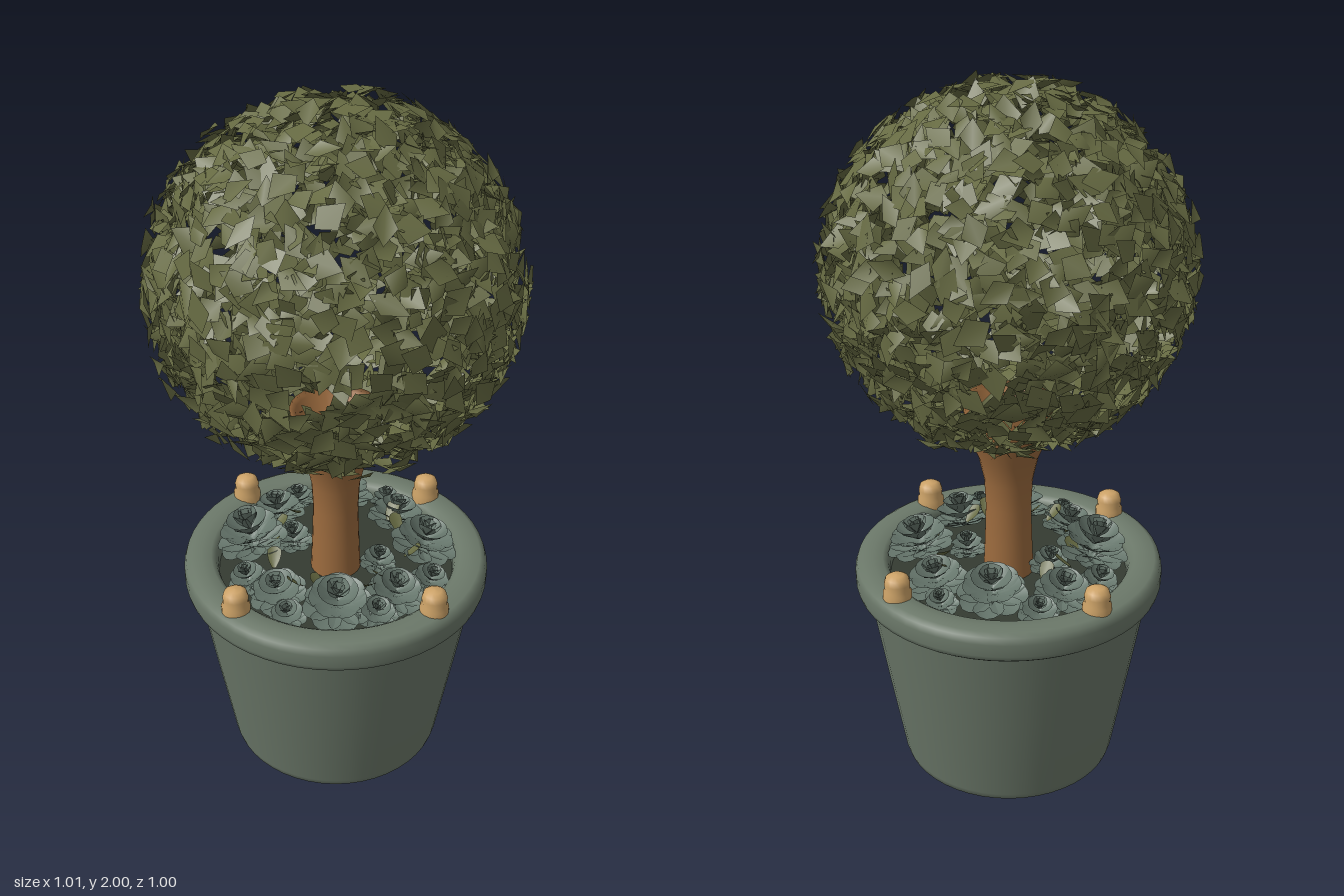
import * as THREE from 'three';
import { mergeGeometries } from 'three/addons/utils/BufferGeometryUtils.js';

const mat = (name, color, side = THREE.FrontSide) => {
  const m = new THREE.MeshStandardMaterial({ color, side });
  m.name = name;
  return m;
};

// Small seeded generator
const seeded = (s) => () => {
  s = (s * 1664525 + 1013904223) % 4294967296;
  return s / 4294967296;
};

const lathe = (points, segments) =>
  new THREE.LatheGeometry(points.map(([r, y]) => new THREE.Vector2(r, y)), segments);

// Ball of folded, pointed leaves forming a hollow shell
function foliageGeometry(count, radius) {
  const rand = seeded(11);
  const pos = [], index = [];
  for (let i = 0; i < count; i++) {
    const y = 1 - 2 * (i + 0.5) / count;
    const a = i * 2.39996 + (rand() - 0.5) * 1.2;
    const r = Math.sqrt(1 - y * y);
    const n = new THREE.Vector3(r * Math.cos(a), y, r * Math.sin(a));
    // Random tangent, leaning outward by a random tilt
    const t = new THREE.Vector3(rand() - 0.5, rand() - 0.5, rand() - 0.5).cross(n).normalize();
    const side = new THREE.Vector3().crossVectors(n, t);
    const tilt = 0.15 + rand() * 0.75;
    const dir = t.multiplyScalar(Math.cos(tilt)).addScaledVector(n, Math.sin(tilt));
    const up = new THREE.Vector3().crossVectors(dir, side);
    const len = 0.07 + rand() * 0.04, half = 0.026 + rand() * 0.014;
    const fold = (rand() - 0.5) * 0.04;
    const tip = n.clone().multiplyScalar(radius - rand() * 0.05);
    const base = tip.clone().addScaledVector(dir, -len);
    const mid = base.clone().addScaledVector(dir, len * 0.42).addScaledVector(up, fold);
    const left = mid.clone().addScaledVector(side, half);
    const right = mid.clone().addScaledVector(side, -half);
    const k = pos.length / 3;
    for (const p of [base, right, tip, left]) pos.push(p.x, p.y, p.z);
    index.push(k, k + 1, k + 2, k, k + 2, k + 3);
  }
  const g = new THREE.BufferGeometry();
  g.setAttribute('position', new THREE.Float32BufferAttribute(pos, 3));
  g.setIndex(index);
  g.computeVertexNormals();
  return g;
}

// One cupped petal pointing along +z from the origin
function petalGeometry(length, width, rise) {
  const g = new THREE.PlaneGeometry(1, 1, 4, 3);
  const p = g.attributes.position;
  for (let i = 0; i < p.count; i++) {
    const u = p.getX(i) * 2, v = p.getY(i) + 0.5;
    const w = width * (0.35 + 0.65 * Math.sin(Math.PI * Math.min(v * 0.72, 0.6)));
    const cup = u * u * 0.18 * width;
    const reach = length * v * (1 - 0.22 * u * u * v);
    p.setXYZ(i, u * w, Math.sin(rise) * reach + cup + 0.08 * v * v * length, Math.cos(rise) * reach);
  }
  g.computeVertexNormals();
  return g;
}

// Unit rosette: rings of petals, steeper and shorter toward the middle
function rosetteGeometry() {
  const parts = [];
  const rings = [[8, 1, 0.42, 0.08, 0], [7, 0.85, 0.4, 0.3, 0.16], [6, 0.66, 0.34, 0.55, 0.3],
    [5, 0.46, 0.26, 0.85, 0.44], [4, 0.28, 0.18, 1.15, 0.56]];
  rings.forEach(([n, len, width, rise, y], k) => {
    for (let i = 0; i < n; i++) {
      const g = petalGeometry(len, width, rise);
      g.rotateY((i + k * 0.4) / n * Math.PI * 2);
      g.translate(0, y, 0);
      parts.push(g);
    }
  });
  return mergeGeometries(parts);
}

export function createModel() {
  const model = new THREE.Group();
  const potGreen = mat('pot green', 0x6b7869);
  const soilDark = mat('soil dark', 0x343b31);
  const bark = mat('bark brown', 0x9c6b3e, THREE.DoubleSide);
  const leafGreen = mat('leaf green', 0x666a42, THREE.DoubleSide);
  const petalGreen = mat('petal grey green', 0x66766c, THREE.DoubleSide);
  const tan = mat('knob tan', 0xcca267);

  const add = (name, geometry, material, parent = model) => {
    const m = new THREE.Mesh(geometry, material);
    m.name = name;
    parent.add(m);
    return m;
  };

  // Tapered pot
  add('potBase', new THREE.CircleGeometry(0.297, 48).rotateX(Math.PI / 2), potGreen).position.y = 0.001;
  add('potBody', lathe([[0.296, 0], [0.306, 0.006], [0.312, 0.025], [0.36, 0.3], [0.405, 0.57]], 48), potGreen);

  // Rolled rim with an inner wall
  add('potRim', lathe([[0.395, 0.558], [0.422, 0.558], [0.432, 0.566], [0.436, 0.58], [0.436, 0.615],
    [0.43, 0.634], [0.415, 0.643], [0.385, 0.645], [0.358, 0.642], [0.344, 0.632], [0.338, 0.615],
    [0.335, 0.57]], 56), potGreen);
  add('soil', new THREE.CircleGeometry(0.337, 40).rotateX(-Math.PI / 2), soilDark).position.y = 0.59;

  // Four rounded knobs on the rim
  const knob = lathe([[0.04, 0.63], [0.04, 0.658], [0.034, 0.666], [0.036, 0.685], [0.031, 0.702],
    [0.018, 0.71], [0, 0.712]], 16);
  for (let i = 0; i < 4; i++) {
    const a = i * Math.PI / 2;
    add('rimKnob', knob, tan).position.set(0.382 * Math.sin(a), 0, 0.382 * Math.cos(a));
  }

  // Flared trunk with a hollow top
  add('trunk', lathe([[0.072, 0.58], [0.067, 0.7], [0.064, 0.8], [0.068, 0.88], [0.083, 0.95],
    [0.105, 1.0], [0.118, 1.05], [0.126, 1.12], [0.11, 1.11], [0.07, 1.02], [0, 0.95]], 24), bark);

  // Succulent rosettes around the trunk: x, z, base height, size, height
  const rosettes = new THREE.Group();
  rosettes.name = 'rosettes';
  model.add(rosettes);
  const rosette = rosetteGeometry();
  const spots = [
    [-0.17, 0.16, 0.66, 0.105, 0.16], [0.02, 0.24, 0.63, 0.085, 0.1], [0.18, 0.17, 0.64, 0.1, 0.13],
    [0.25, 0.02, 0.63, 0.085, 0.12], [0.17, -0.18, 0.65, 0.1, 0.13], [0.01, -0.24, 0.63, 0.09, 0.11],
    [-0.16, -0.18, 0.65, 0.1, 0.13], [-0.25, -0.01, 0.63, 0.085, 0.11], [-0.08, 0.26, 0.63, 0.06, 0.09],
    [0.27, 0.11, 0.63, 0.06, 0.08], [0.1, 0.28, 0.62, 0.055, 0.08], [0.27, -0.1, 0.62, 0.06, 0.09],
    [-0.27, 0.1, 0.63, 0.06, 0.09], [-0.27, -0.11, 0.62, 0.06, 0.08], [-0.08, -0.29, 0.62, 0.05, 0.08],
    [-0.12, 0.05, 0.63, 0.06, 0.1], [0.11, -0.06, 0.62, 0.055, 0.09]];
  spots.forEach(([x, z, y, size, height], i) => {
    const m = add('rosette', rosette, petalGreen, rosettes);
    m.position.set(x, y - 0.015, z);
    m.scale.set(size, height * 0.95, size);
    m.rotation.set(z * 0.9, i * 1.3, -x * 0.9, 'XZY');
  });

  // Small olive sprigs between the rosettes
  const sprig = petalGeometry(0.06, 0.02, 0.7);
  for (let i = 0; i < 12; i++) {
    const a = i * 2.4;
    const m = add('sprig', sprig, leafGreen, rosettes);
    m.position.set(0.2 * Math.cos(a), 0.65, 0.2 * Math.sin(a));
    m.rotation.y = i * 1.7;
  }

  // Clipped ball of leaves
  add('foliageBall', foliageGeometry(2300, 0.508), leafGreen).position.y = 1.492;

  return model;
}
